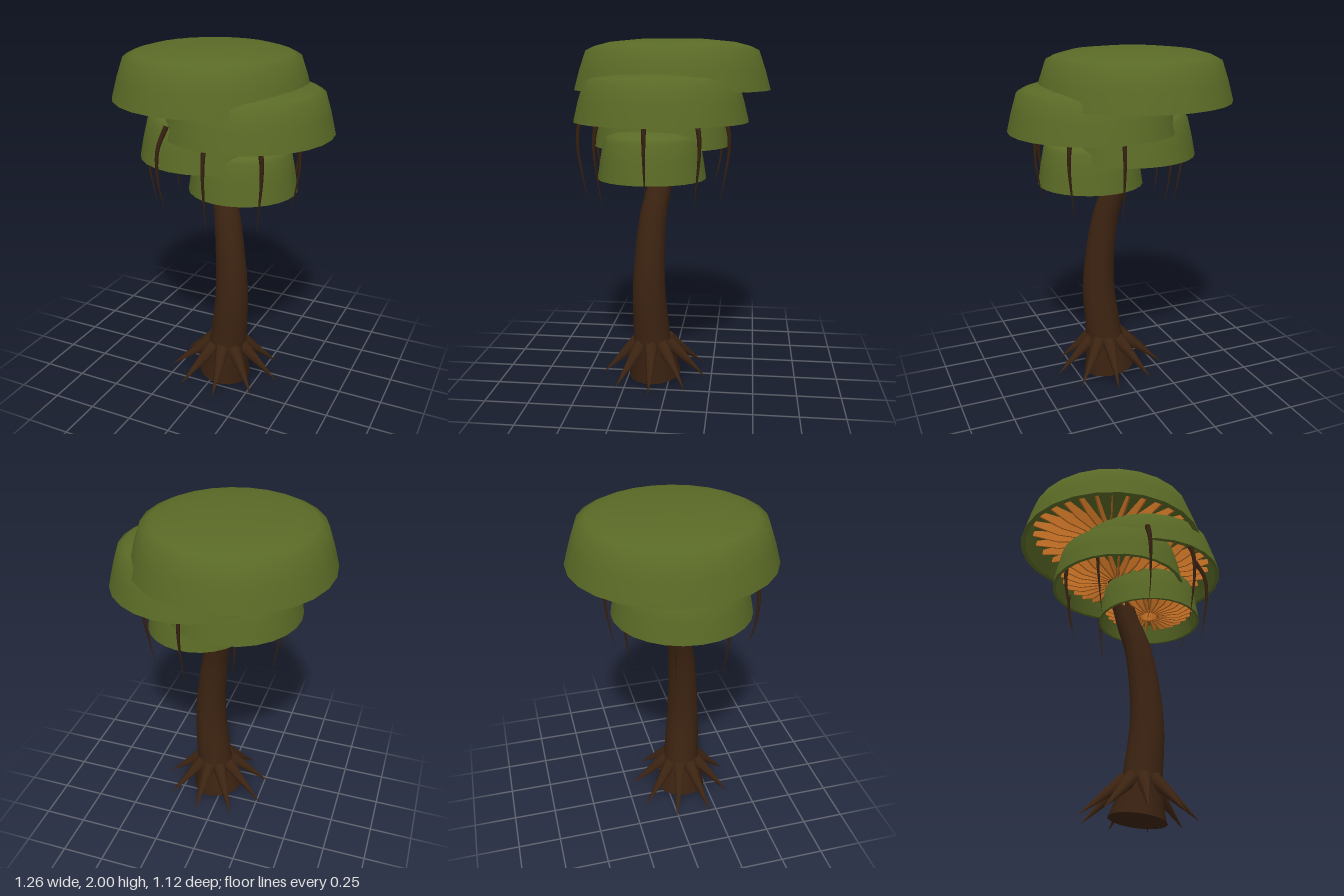
import * as THREE from 'three';
import { toCreasedNormals } from 'three/addons/utils/BufferGeometryUtils.js';

const mat = (name, color, side = THREE.FrontSide) => {
  const m = new THREE.MeshStandardMaterial({ color, side });
  m.name = name;
  return m;
};
const V = (x, y, z) => new THREE.Vector3(x, y, z);

// Tube whose rings are rescaled by radiusAt(t, point)
function taperedTube(points, segments, sides, radiusAt) {
  const curve = new THREE.CatmullRomCurve3(points);
  const geo = new THREE.TubeGeometry(curve, segments, 1, sides);
  const pos = geo.attributes.position, v = V(0, 0, 0);
  for (let i = 0; i <= segments; i++) {
    const p = curve.getPointAt(i / segments), r = radiusAt(i / segments, p);
    for (let j = 0; j <= sides; j++) {
      const k = i * (sides + 1) + j;
      v.fromBufferAttribute(pos, k).sub(p).multiplyScalar(r).add(p);
      pos.setXYZ(k, v.x, v.y, v.z);
    }
  }
  return { geo, curve };
}

export function createModel() {
  const model = new THREE.Group();
  model.name = 'mushroomTree';
  const green = mat('capGreen', 0x5a6a26);
  const bark = mat('barkBrown', 0x3d2412);
  const vineBrown = mat('vineBrown', 0x352010);
  const orange = mat('gillOrange', 0xcc7426, THREE.DoubleSide);

  const add = (parent, name, geo, material) => {
    const m = new THREE.Mesh(geo, material);
    m.name = name;
    parent.add(m);
    return m;
  };

  // Leaning trunk, flared at the foot
  const trunkRadius = [[0, 0.162], [0.12, 0.133], [0.25, 0.11], [0.6, 0.095], [1, 0.078], [1.23, 0.066], [1.8, 0.05]];
  const radiusAtHeight = (y) => {
    for (let i = 1; i < trunkRadius.length; i++) {
      const [y0, r0] = trunkRadius[i - 1], [y1, r1] = trunkRadius[i];
      if (y <= y1) return r0 + (r1 - r0) * Math.max(0, (y - y0) / (y1 - y0));
    }
    return 0.05;
  };
  const trunk = taperedTube([
    V(0.04, 0.025, 0.092), V(0.073, 0.3, 0.107), V(0.095, 0.6, 0.118),
    V(0.06, 1, 0.095), V(0.006, 1.23, 0.05), V(-0.05, 1.5, 0.02), V(-0.08, 1.78, 0),
  ], 40, 20, (t, p) => radiusAtHeight(p.y));
  add(model, 'trunk', trunk.geo, bark);
  const foot = add(model, 'trunkFoot', new THREE.CircleGeometry(0.161, 20), bark);
  foot.position.copy(trunk.curve.getPointAt(0));
  foot.quaternion.setFromUnitVectors(V(0, 0, 1), trunk.curve.getTangentAt(0).negate());

  // Spiky roots
  const N = 9;
  for (let i = 0; i < N; i++) {
    const a = (i / N) * Math.PI * 2, c = Math.cos(a), s = Math.sin(a);
    const top = V(0.055 + 0.09 * c, 0.235, 0.1 + 0.09 * s);
    const tip = V(0.04 + 0.34 * c, 0.025, 0.09 + 0.315 * s);
    const dir = tip.clone().sub(top);
    const root = add(model, 'root', new THREE.ConeGeometry(0.044, dir.length(), 8), bark);
    root.position.copy(top).add(tip).multiplyScalar(0.5);
    root.quaternion.setFromUnitVectors(V(0, 1, 0), dir.normalize());
  }

  // Hanging vines: bulge outward, then taper to a point
  for (let i = 0; i < N; i++) {
    const a = (i / N) * Math.PI * 2, tipY = i % 3 === 0 ? 1.15 : 1.09;
    const at = (r, y) => V(0.04 + r * Math.cos(a), y, 0.09 + r * Math.sin(a));
    const vine = taperedTube([at(0.37, 1.63), at(0.425, 1.52), at(0.435, 1.4), at(0.415, 1.25), at(0.385, tipY)],
      14, 6, (t) => 0.016 * (1 - t) + 0.0005);
    add(model, 'vine', vine.geo, vineBrown);
  }

  // Hollow caps with radial gills: centre x, base y, centre z, radius x, radius z, height
  const caps = [
    [-0.078, 1.715, 0, 0.553, 0.565, 0.285],
    [0.155, 1.553, 0.037, 0.472, 0.483, 0.275],
    [-0.07, 1.397, 0.058, 0.387, 0.394, 0.28],
    [0.15, 1.236, 0.09, 0.302, 0.304, 0.28],
  ];
  const outer = [[1, 0], [0.945, 0.39], [0.878, 0.765], [0.79, 0.85], [0.635, 0.93], [0.35, 0.985], [0, 1]];
  const inner = [[0, 0.4], [0.86, 0.4], [0.95, 0], [1, 0]];
  for (const [x, y, z, rx, rz, h] of caps) {
    const cap = new THREE.Group();
    cap.name = 'cap';
    cap.position.set(x, y, z);
    model.add(cap);
    const lathe = (profile) => new THREE.LatheGeometry(profile.map((p) => new THREE.Vector2(...p)), 26)
      .rotateY(Math.PI / 2).scale(rx, h, rz);
    add(cap, 'capTop', lathe(outer), green);
    add(cap, 'capUnderside', toCreasedNormals(lathe(inner), 0.6), green);

    // Gills: thin tapering blades under the ceiling
    const blade = new THREE.Shape([[0.16, 0.4 * h], [0.16, 0.14 * h], [0.6, 0.14 * h], [0.88, 0.28 * h], [0.87, 0.4 * h]]
      .map(([r, v]) => new THREE.Vector2(r * rx, v)));
    const bladeGeo = new THREE.ExtrudeGeometry(blade, { depth: 0.009, bevelEnabled: false }).translate(0, 0, -0.0045);
    for (let i = 0; i < 28; i++) {
      add(cap, 'gill', bladeGeo, orange).rotation.y = (i / 28) * Math.PI * 2;
    }
  }
  return model;
}
